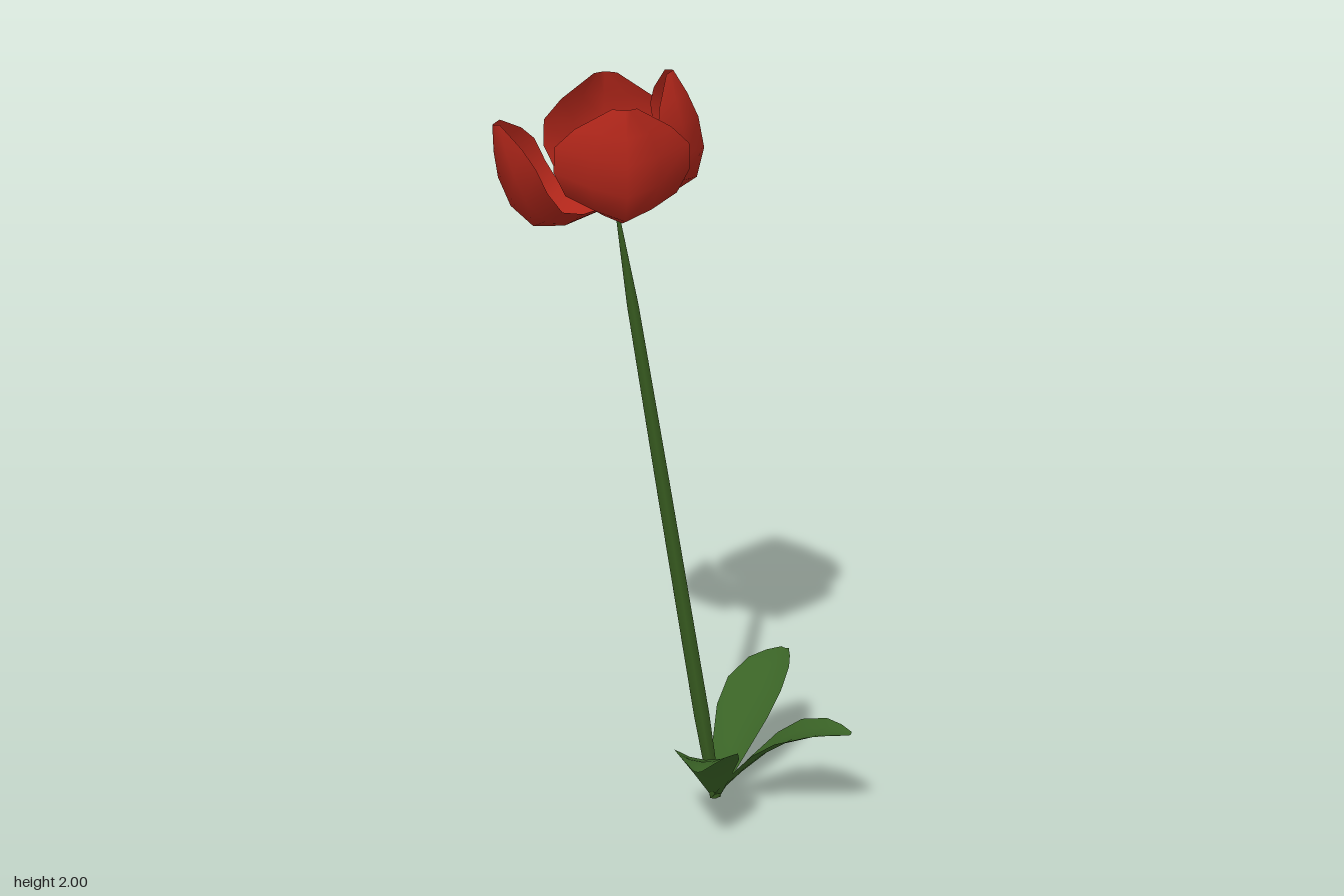
import * as THREE from 'three';

const material = (color) => new THREE.MeshStandardMaterial({ color, side: THREE.DoubleSide });

// Thin blade lofted from rows [out, up, halfWidth]; place(row, s, t) gives a point
// for s in -1..1 across and t in 0..1 along
function blade(rows, columns, place) {
  const positions = [], index = [];
  rows.forEach((row, r) => {
    for (let c = 0; c <= columns; c++) {
      positions.push(...place(row, (c / columns) * 2 - 1, r / (rows.length - 1)));
    }
  });
  for (let r = 0; r < rows.length - 1; r++) {
    for (let c = 0; c < columns; c++) {
      const a = r * (columns + 1) + c, b = a + columns + 1;
      index.push(a, a + 1, b, a + 1, b + 1, b);
    }
  }
  const geometry = new THREE.BufferGeometry();
  geometry.setAttribute('position', new THREE.Float32BufferAttribute(positions, 3));
  geometry.setIndex(index);
  geometry.computeVertexNormals();
  return geometry;
}

export function createModel() {
  const model = new THREE.Group();
  model.name = 'flower';

  const root = new THREE.Vector3(0.12, 0.005, -0.03);
  const head = new THREE.Vector3(-0.135, 1.66, -0.103);

  // Leaning stem, pinched under the bloom
  const axis = head.clone().sub(root);
  const length = axis.length();
  const stemProfile = [[0, 0], [0.017, 0], [0.024, 0.15], [0.021, 0.55], [0.017, 0.84], [0.004, 1]]
    .map(([r, t]) => new THREE.Vector2(r, t * length));
  const stem = new THREE.Mesh(new THREE.LatheGeometry(stemProfile, 6), material(0x36591f));
  stem.name = 'stem';
  stem.position.copy(root);
  stem.quaternion.setFromUnitVectors(new THREE.Vector3(0, 1, 0), axis.normalize());
  model.add(stem);

  // Three arching leaves, slightly channelled along the middle
  const leafRows = [
    [0, 0, 0.015], [0.08, 0.095, 0.052], [0.16, 0.178, 0.08], [0.23, 0.232, 0.084],
    [0.31, 0.268, 0.064], [0.36, 0.28, 0.038], [0.398, 0.285, 0.012],
  ];
  const leafGeometry = blade(leafRows, 4, ([out, up, w], s) =>
    [out - s * s * w * 0.15, up + s * s * w * 0.22, s * w]);
  const leafMaterial = material(0x3a6326);
  [[0.225, -0.33], [0.335, 0.21], [-0.08, 0.395]].forEach(([x, z], i) => {
    const leaf = new THREE.Mesh(leafGeometry, leafMaterial);
    leaf.name = `leaf${i + 1}`;
    leaf.position.copy(root);
    leaf.rotation.y = Math.atan2(-z, x);
    model.add(leaf);
  });

  const bloom = new THREE.Group();
  bloom.name = 'bloom';
  bloom.position.copy(head);
  model.add(bloom);

  // Four keeled, cupped petals; the edges fold inward, and rise most near the base
  const petalRows = [
    [0.005, 0, 0.004], [0.14, -0.012, 0.09], [0.215, 0.012, 0.138], [0.252, 0.08, 0.168],
    [0.258, 0.16, 0.165], [0.247, 0.225, 0.118], [0.228, 0.29, 0.03],
  ];
  const petalGeometry = blade(petalRows, 4, ([r, up, w], s, t) => {
    const fold = Math.abs(s) ** 1.25 * w;
    return [r - fold * 0.65, up + fold * 0.5 * (1 - t), s * w];
  });
  const petalMaterial = material(0xb0261a);
  // [name, heading, pitch]: the bloom opens towards -x and closes towards +x
  [
    ['leftPetal', 0, 15], ['backPetal', 94, 0], ['rightPetal', 180, -17.5], ['frontPetal', 274, 0],
  ].forEach(([name, heading, pitch]) => {
    const petal = new THREE.Mesh(petalGeometry, petalMaterial);
    petal.name = name;
    petal.rotation.set(0, THREE.MathUtils.degToRad(heading), THREE.MathUtils.degToRad(pitch));
    bloom.add(petal);
  });

  // Low seed head in the middle
  const seedHead = new THREE.Mesh(new THREE.SphereGeometry(0.07, 8, 6), material(0x3c4422));
  seedHead.name = 'seedHead';
  seedHead.scale.y = 0.7;
  seedHead.position.y = 0.052;
  bloom.add(seedHead);

  return model;
}
